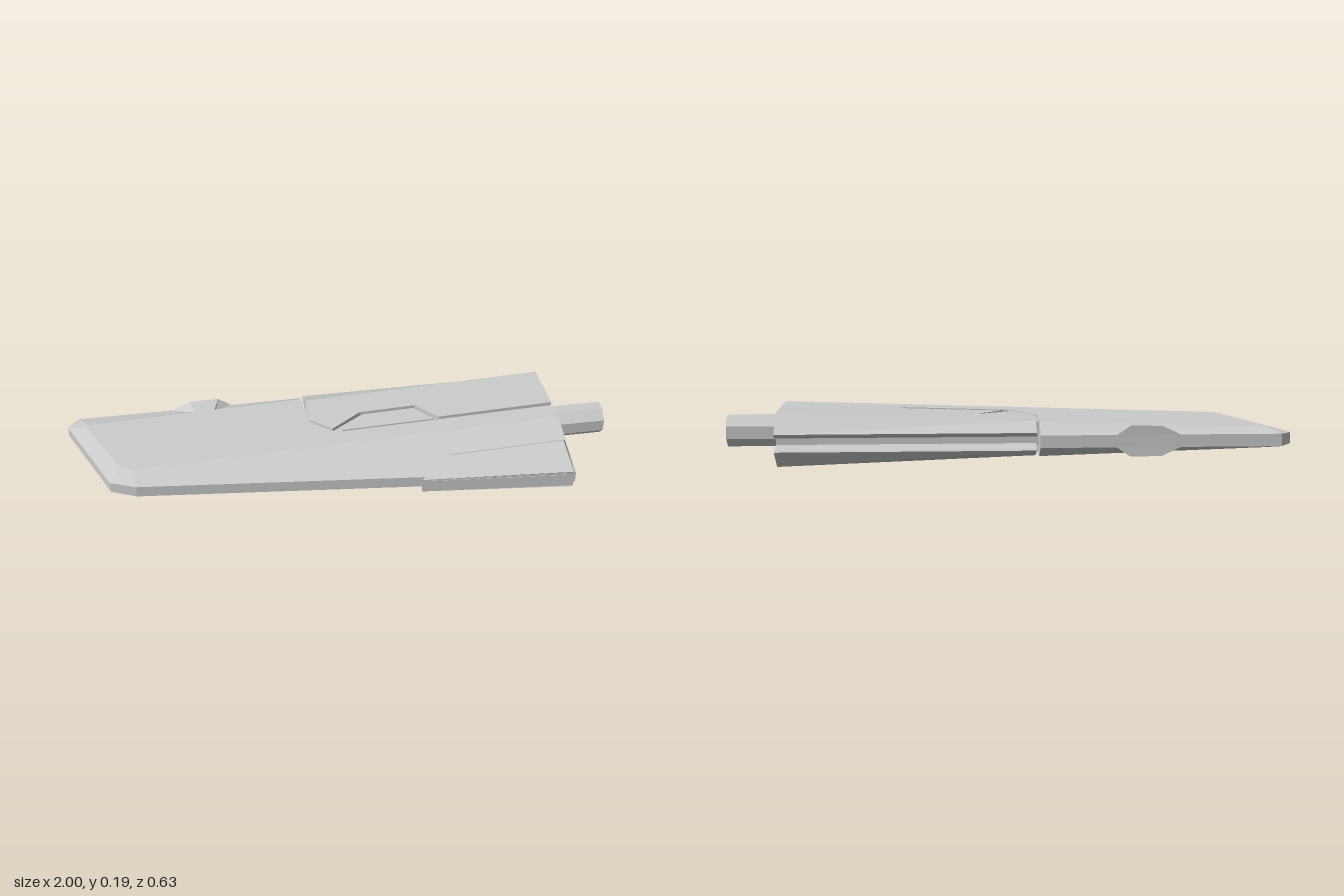
import * as THREE from 'three';

const MID = 0.096; // height of the blade's centre plane

const material = new THREE.MeshStandardMaterial({ color: 0xcccccc, flatShading: true });
const openMaterial = new THREE.MeshStandardMaterial({ color: 0xcccccc, flatShading: true, side: THREE.DoubleSide });

// Half thickness of the blade, growing from tip to root
const bladeH = (x) => 0.037 + (x + 0.92) * 0.032;
const panelH = (x) => 0.062 + (x + 0.1) * 0.0378;

// Solid from plan outlines of [x, z, halfHeight], listed from the top face
// down to the centre plane; the lower half is mirrored.
function stack(name, upper) {
  const area = THREE.ShapeUtils.area(upper[0].map(([x, z]) => new THREE.Vector2(x, -z)));
  const ordered = area < 0 ? upper.map((r) => [...r].reverse()) : upper;
  const rings = [
    ...ordered.map((r) => r.map(([x, z, h]) => [x, h, z])),
    ...[...ordered].reverse().map((r) => r.map(([x, z, h]) => [x, -h, z])),
  ];
  const pos = [];
  const tri = (a, b, c) => pos.push(...a, ...b, ...c);
  for (let k = 0; k < rings.length - 1; k++) {
    const a = rings[k], b = rings[k + 1];
    for (let i = 0; i < a.length; i++) {
      const j = (i + 1) % a.length;
      tri(b[i], b[j], a[j]);
      tri(b[i], a[j], a[i]);
    }
  }
  const top = rings[0], bottom = rings[rings.length - 1];
  const faces = THREE.ShapeUtils.triangulateShape(top.map((p) => new THREE.Vector2(p[0], -p[2])), []);
  for (const [i, j, k] of faces) {
    tri(top[i], top[j], top[k]);
    tri(bottom[k], bottom[j], bottom[i]);
  }
  const g = new THREE.BufferGeometry();
  g.setAttribute('position', new THREE.Float32BufferAttribute(pos, 3));
  g.computeVertexNormals();
  return add(name, g);
}

function add(name, geometry, mat = material) {
  const mesh = new THREE.Mesh(geometry, mat);
  mesh.name = name;
  mesh.position.y = MID;
  return mesh;
}

const withHeight = (pts, fn) => pts.map(([x, z]) => [x, z, fn(x)]);

export function createModel() {
  const group = new THREE.Group();
  group.name = 'blade';

  // Main blade: flat middle, bevelled rim, cut away for the rear panel
  const cut = withHeight([[-0.117, -0.105], [-0.02, -0.017], [0.8, -0.017]], bladeH);
  const flat = withHeight([[-0.93, -0.235], [-0.92, -0.25], [-0.117, -0.25]], bladeH);
  const ridge = withHeight([[0.8, 0.06], [-0.77, 0.055], [-0.81, 0.03]], bladeH);
  const rim = [[-1, -0.27, 0.02], [-0.96, -0.313, 0.022], [-0.117, -0.313, 0.022]];
  const edge = [[0.8, 0.3, 0.021], [-0.76, 0.13, 0.021], [-0.85, 0.09, 0.02]];
  group.add(stack('mainBlade', [[...flat, ...cut, ...ridge], [...rim, ...cut, ...edge]]));

  // Rear panel with a slot along its back edge
  const seam = [[0.8, -0.03], [0.37, -0.03], [0.295, -0.12], [0.085, -0.12], [-0.03, -0.04], [-0.105, -0.112]];
  const panelRing = (z, h) => [
    ...[-0.105, 0.8].map((x) => [x, z, h ?? panelH(x)]),
    ...seam.map(([x, sz]) => [x, sz, h ?? panelH(x)]),
  ];
  group.add(stack('rearPanel', [
    panelRing(-0.237), panelRing(-0.312, 0.031), panelRing(-0.306, 0.024),
    panelRing(-0.292, 0.015), panelRing(-0.254, 0.015),
  ]));

  // Tab set into the rear panel
  const tab = [[0.005, -0.026], [0.095, -0.108], [0.285, -0.108], [0.35, -0.026]];
  group.add(stack('panelTab', [withHeight(tab, (x) => bladeH(x) - 0.002)]));

  // Core that closes the bottom of the seams
  const core = new THREE.BoxGeometry(0.918, 0.106, 0.25);
  core.translate(0.339, 0, -0.125);
  // keep the core clear of the slot
  const p = core.attributes.position;
  for (let i = 0; i < p.count; i++) if (p.getZ(i) < -0.2) p.setZ(i, -0.2);
  group.add(add('seamCore', core));

  // Raised guard on the front edge and its long inset plate
  group.add(stack('frontGuard', [
    [[0.25, 0.258, 0.03], [0.785, 0.313, 0.033], [0.785, 0.18, 0.073], [0.37, 0.178, 0.058]],
    [[0.245, 0.262, 0.026], [0.79, 0.312, 0.03], [0.8, 0.152, 0.058], [0.36, 0.152, 0.045]],
  ]));
  const plate = add('guardPlate', new THREE.BoxGeometry(0.515, 0.042, 0.01));
  plate.position.set(0.52, MID, 0.2835);
  plate.rotation.y = -Math.atan2(0.05, 0.545);
  group.add(plate);

  // Thickened lug on the back edge
  group.add(stack('rearLug', [
    [[-0.54, -0.314, 0.053], [-0.43, -0.314, 0.055], [-0.45, -0.245, 0.052], [-0.52, -0.245, 0.05]],
    [[-0.61, -0.313, 0.02], [-0.38, -0.313, 0.02], [-0.45, -0.245, 0.02], [-0.52, -0.245, 0.02]],
  ]));

  // Open eight-sided spigot at the root
  const pipe = new THREE.CylinderGeometry(0.0595, 0.0595, 0.21, 8, 1, true);
  pipe.rotateY(Math.PI / 8);
  pipe.rotateZ(Math.PI / 2);
  pipe.translate(0.895, 0, -0.035);
  group.add(add('rootSpigot', pipe, openMaterial));

  return group;
}
